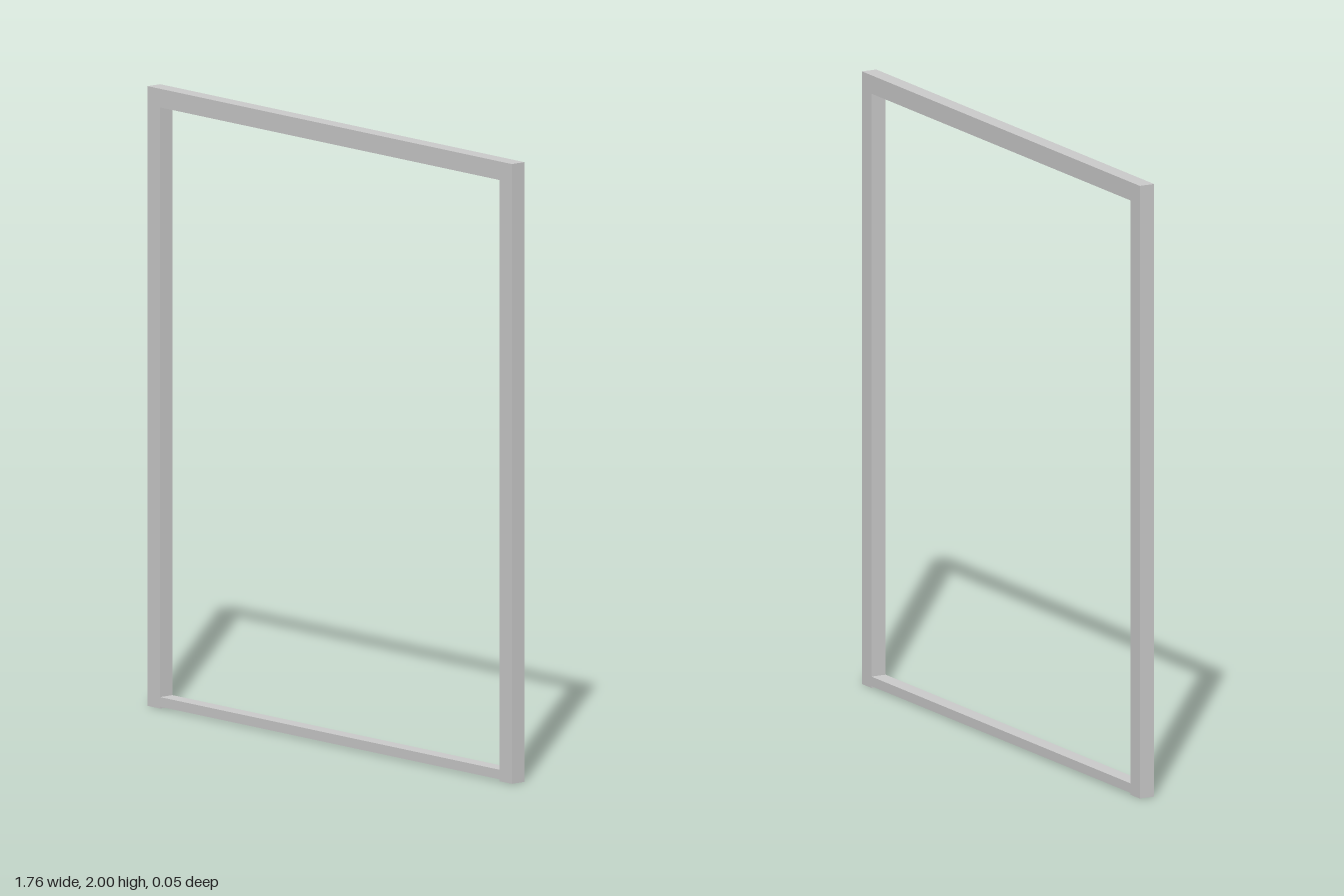
import * as THREE from 'three';

export function createModel() {
  const group = new THREE.Group();
  const material = new THREE.MeshStandardMaterial({ color: 0xcccccc, flatShading: true });
  const width = 1.765, height = 2, depth = 0.052, face = 0.06;
  const inner = width - 2 * face;

  const addBar = (name, w, h, x, bottom) => {
    const bar = new THREE.Mesh(new THREE.BoxGeometry(w, h, depth), material);
    bar.name = name;
    bar.position.set(x, bottom + h / 2, 0);
    group.add(bar);
  };

  // Side jambs run up to the underside of the head
  for (const [name, side] of [['leftJamb', 1], ['rightJamb', -1]]) {
    addBar(name, face, height - face, side * (width - face) / 2, 0);
  }
  // Head spans the full width
  addBar('head', width, face, 0, height - face);
  // Thin sill sits just off the floor, between the jambs
  addBar('sill', inner, 0.031, 0, 0.006);

  return group;
}
